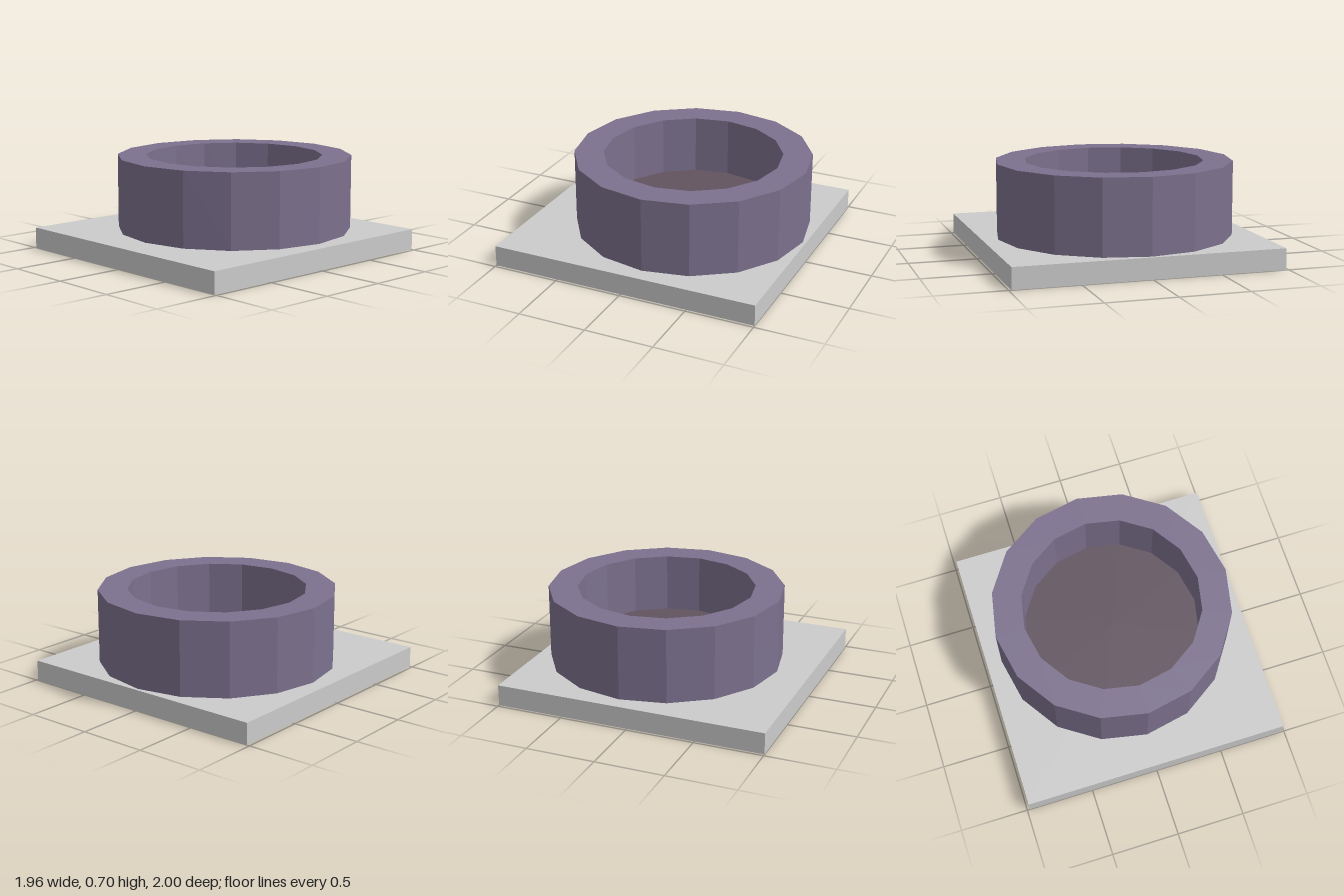
import * as THREE from 'three';

const SIDES = 16;
const PLATE_TOP = 0.155, RIM_TOP = 0.7, FLOOR_Y = 0.265;
const OUTER = 0.867, INNER = 0.653, CENTRE_Z = -0.11;

function addPart(parent, name, geometry, color) {
  const material = new THREE.MeshStandardMaterial({ color, flatShading: true });
  const mesh = new THREE.Mesh(geometry, material);
  mesh.name = name;
  parent.add(mesh);
  return mesh;
}

export function createModel() {
  const model = new THREE.Group();
  model.name = 'roundBasinOnPlate';

  // Flat base plate
  const plate = addPart(model, 'basePlate', new THREE.BoxGeometry(1.96, PLATE_TOP, 2), 0xcccccc);
  plate.position.y = PLATE_TOP / 2;

  // Faceted ring wall: outside, rim, then down the inside
  const profile = [
    [OUTER, PLATE_TOP], [OUTER, RIM_TOP], [INNER, RIM_TOP], [INNER, PLATE_TOP],
  ].map(([r, y]) => new THREE.Vector2(r, y));
  const ring = addPart(model, 'ringWall', new THREE.LatheGeometry(profile, SIDES), 0x7c718e);
  ring.position.z = CENTRE_Z;

  // Disc filling the bottom of the ring
  const floor = addPart(model, 'basinFloor', new THREE.CircleGeometry(INNER, SIDES), 0x61535f);
  floor.rotation.x = -Math.PI / 2;
  floor.position.set(0, FLOOR_Y, CENTRE_Z);

  return model;
}
